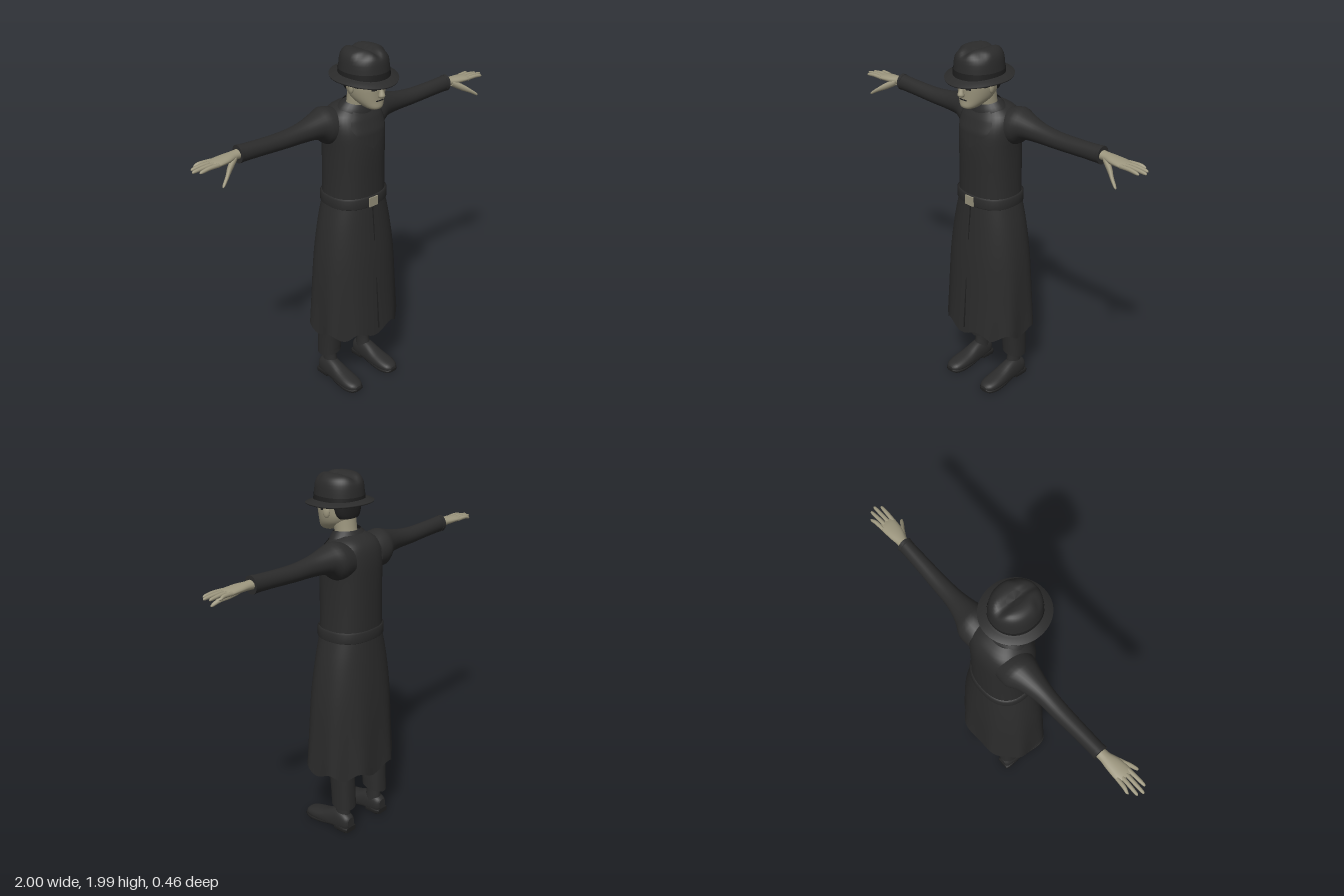
import * as THREE from 'three';

const mat = (name, color, side = THREE.FrontSide) => {
  const m = new THREE.MeshStandardMaterial({ color, side });
  m.name = name;
  return m;
};

// Catmull-Rom blend of rows of numbers
function smoothRows(rows, sub) {
  const out = [];
  for (let i = 0; i < rows.length - 1; i++) {
    const [a, b, c, d] = [rows[Math.max(i - 1, 0)], rows[i], rows[i + 1], rows[Math.min(i + 2, rows.length - 1)]];
    for (let s = 0; s < sub; s++) {
      const t = s / sub;
      out.push(b.map((_, k) => {
        const cubic = 3 * (b[k] - c[k]) + d[k] - a[k];
        const square = 2 * a[k] - 5 * b[k] + 4 * c[k] - d[k];
        return b[k] + 0.5 * t * (c[k] - a[k] + t * (square + t * cubic));
      }));
    }
  }
  out.push(rows[rows.length - 1]);
  return out;
}

// Skin superellipse rings along an axis; ring = [t, centre1, radius1, centre2, radius2]
// The two cross axes follow in cyclic order: x -> y,z   y -> z,x   z -> x,y
function loft(axis, rows, { n = 28, e = 2, sub = 3, cap = true, rule } = {}) {
  const k = 'xyz'.indexOf(axis), pos = [], idx = [];
  const rings = smoothRows(rows, sub);
  const pow = v => Math.sign(v) * Math.abs(v) ** (2 / e);
  const addRing = ([t, c1, r1, c2, r2]) => {
    for (let j = 0; j < n; j++) {
      const a = j / n * Math.PI * 2, p = new THREE.Vector3();
      p.setComponent(k, t);
      p.setComponent((k + 1) % 3, c1 + r1 * pow(Math.cos(a)));
      p.setComponent((k + 2) % 3, c2 + r2 * pow(Math.sin(a)));
      if (rule) rule(p, a);
      pos.push(p.x, p.y, p.z);
    }
  };
  const stitch = base => {
    for (let j = 0; j < n; j++) {
      const a = base + j, b = base + (j + 1) % n;
      idx.push(a, b, b + n, a, b + n, a + n);
    }
  };
  rings.forEach(addRing);
  for (let i = 0; i < rings.length - 1; i++) stitch(i * n);
  if (cap) {
    const shrink = r => [r[0], r[1], r[2] * 0.01, r[3], r[4] * 0.01];
    const first = rings[0], last = rings[rings.length - 1];
    for (const ends of [[shrink(first), first], [last, shrink(last)]]) {
      const base = pos.length / 3;
      ends.forEach(addRing);
      stitch(base);
    }
  }
  const g = new THREE.BufferGeometry();
  g.setAttribute('position', new THREE.Float32BufferAttribute(pos, 3));
  g.setIndex(idx);
  g.computeVertexNormals();
  return g;
}

function mirrored(geo) {
  const g = geo.clone().scale(-1, 1, 1), ix = g.index.array;
  for (let i = 0; i < ix.length; i += 3) [ix[i], ix[i + 1]] = [ix[i + 1], ix[i]];
  g.computeVertexNormals();
  return g;
}

export function createModel() {
  const model = new THREE.Group();
  const coat = mat('coat black', 0x2b2b2b, THREE.DoubleSide);
  const dark = mat('trim black', 0x202020, THREE.DoubleSide);
  const skin = mat('skin', 0x9c967e);
  const metal = mat('buckle', 0x96917c);
  const add = (name, geo, m) => {
    const mesh = new THREE.Mesh(geo, m);
    mesh.name = name;
    model.add(mesh);
  };
  const pair = (name, geo, m) => {
    add(name + 'Left', geo, m);
    add(name + 'Right', mirrored(geo), m);
  };
  const box = (w, h, d, x, y, z, ry = 0, rx = 0) =>
    new THREE.BoxGeometry(w, h, d).rotateX(rx).rotateY(ry).translate(x, y, z);

  // Coat body
  const torso = [[1.15, -.028, .146, 0, .17], [1.3, -.028, .147, 0, .165], [1.45, -.027, .148, 0, .165],
    [1.55, -.03, .142, 0, .17], [1.62, -.036, .122, 0, .16], [1.66, -.035, .095, 0, .125], [1.685, -.02, .065, 0, .08]];
  add('coatBody', loft('y', torso, { n: 40, e: 2.4 }), coat);

  // Coat skirt with soft folds and a wavy hem
  add('coatSkirt', loft('y', [[.365, -.025, .205, 0, .258], [.55, -.026, .194, 0, .25], [.8, -.027, .18, 0, .235],
    [1, -.028, .162, 0, .207], [1.14, -.028, .148, 0, .174]], {
    n: 72, e: 2.3, cap: false, rule: (p, a) => {
      const f = Math.max(0, (1.13 - p.y) / .77);
      const fold = 1 + .035 * f * f * Math.cos(8 * a + Math.PI);
      p.x *= fold;
      if (p.z < 0) p.z *= fold;
      p.y -= .02 * f ** 6 * Math.cos(8 * a + .6);
    },
  }), coat);
  add('frontSeam', box(.006, .74, .006, 0, .755, .152, 0, -.079), dark);

  // Belt and buckle
  add('belt', loft('y', [[1.128, -.027, .148, 0, .172], [1.135, -.027, .155, 0, .18], [1.183, -.027, .155, 0, .18],
    [1.19, -.027, .146, 0, .17]], { n: 40, e: 2.4, sub: 1, cap: false }), coat);
  add('buckle', box(.058, .052, .009, 0, 1.158, .129), metal);

  // Lapels laid over the chest
  const chestZ = (x, y) => {
    const i = Math.max(0, torso.findIndex(r => r[0] > y) - 1);
    const t = (y - torso[i][0]) / (torso[i + 1][0] - torso[i][0]);
    const [, c, rz, , rx] = torso[i].map((v, k) => v + t * (torso[i + 1][k] - v));
    return c + rz * Math.max(0, 1 - (Math.abs(x) / rx) ** 2.4) ** (1 / 2.4);
  };
  const lapels = new THREE.PlaneGeometry(2, 1, 16, 16), lp = lapels.attributes.position;
  for (let i = 0; i < lp.count; i++) {
    const v = lp.getY(i) + .5, x = lp.getX(i) * .112 * Math.sin(v * 2.4), y = 1.46 + .2 * v;
    lp.setXYZ(i, x, y, chestZ(x, y) + .007);
  }
  lapels.computeVertexNormals();
  add('lapels', lapels, coat);

  // Collar, dropping toward the front
  add('collar', loft('y', [[1.645, -.015, .095, 0, .125], [1.675, -.005, .082, 0, .108], [1.705, .002, .066, 0, .08]],
    { cap: false, rule: (p, a) => { p.y -= .018 * Math.max(0, Math.cos(a)); } }), coat);

  // Sleeves and cuffs
  pair('sleeve', loft('x', [[.1, 1.57, .09, -.06, .1], [.17, 1.578, .1, -.065, .098], [.23, 1.592, .07, -.06, .075],
    [.33, 1.585, .053, -.055, .052], [.45, 1.58, .045, -.054, .045], [.6, 1.585, .043, -.052, .04],
    [.72, 1.59, .045, -.052, .038]]), coat);
  pair('cuff', loft('x', [[.708, 1.59, .046, -.052, .04], [.727, 1.59, .047, -.052, .041]], { sub: 1 }), coat);

  // Hands
  pair('palm', loft('x', [[.7, 1.592, .026, -.052, .03], [.75, 1.592, .022, -.05, .029], [.8, 1.592, .02, -.045, .04],
    [.86, 1.59, .016, -.043, .045], [.89, 1.588, .01, -.043, .041]], { n: 18 }), skin);
  pair('thumb', loft('x', [[.755, 1.585, .018, -.035, .018], [.81, 1.556, .02, -.004, .017], [.85, 1.532, .013, .026, .012],
    [.882, 1.51, .009, .044, .009], [.892, 1.503, .003, .048, .003]], { n: 12 }), skin);
  [[-.077, -.088, .955], [-.055, -.06, .988], [-.032, -.032, 1], [-.009, -.004, .978]].forEach(([z0, z1, tip], i) =>
    pair('finger' + (i + 1), loft('x', [[.865, 1.59, .011, z0, .011], [.92, 1.592, .01, (z0 + z1) / 2, .0105],
      [tip - .012, 1.587, .008, z1, .008], [tip, 1.585, .002, z1, .002]], { n: 10 }), skin));

  // Neck and head
  add('neck', loft('y', [[1.63, -.01, .055, 0, .06], [1.7, .01, .06, 0, .06], [1.78, .02, .062, 0, .062]]), skin);
  add('head', loft('y', [[1.682, .125, .024, 0, .022], [1.695, .115, .055, 0, .046], [1.73, .08, .09, 0, .073],
    [1.77, .065, .108, 0, .086], [1.81, .064, .112, 0, .09], [1.87, .06, .112, 0, .092]], { e: 2.2 }), skin);
  add('nose', loft('y', [[1.753, .176, .012, 0, .012], [1.763, .183, .018, 0, .018], [1.785, .18, .013, 0, .012],
    [1.815, .172, .007, 0, .008]], { n: 14 }), skin);
  pair('ear', new THREE.SphereGeometry(1, 14, 10).scale(.012, .033, .02).rotateY(.25).translate(.093, 1.797, .058), skin);
  add('lips', box(.045, .006, .006, 0, 1.735, .168), dark);
  pair('eye', box(.028, .008, .006, .037, 1.797, .167, .35), dark);
  pair('brow', box(.038, .007, .008, .037, 1.815, .168, .35), dark);

  // Hair
  add('hair', loft('y', [[1.765, -.004, .044, 0, .066], [1.785, -.002, .05, 0, .078], [1.82, 0, .054, 0, .085],
    [1.86, 0, .054, 0, .086]], { e: 2.3 }), dark);
  pair('sideburn', box(.007, .05, .022, .087, 1.825, .092, -.12), dark);

  // Hat: creased crown, band and dipping brim
  add('hatCrown', loft('y', [[1.835, .053, .136, 0, .126], [1.88, .053, .134, 0, .123], [1.94, .053, .128, 0, .116],
    [1.972, .053, .112, 0, .1], [1.988, .05, .085, 0, .072], [1.992, .05, .045, 0, .036]], {
    n: 48, e: 2.1, rule: p => {
      const top = THREE.MathUtils.smoothstep(p.y, 1.93, 1.99);
      p.y -= .022 * top * Math.exp(-((p.x / .028) ** 2));
      if (p.z > .08) p.x *= 1 - .22 * top * THREE.MathUtils.smoothstep(p.z, .08, .12);
    },
  }), coat);
  add('hatBand', loft('y', [[1.845, .053, .138, 0, .128], [1.88, .053, .1365, 0, .1255]],
    { n: 48, e: 2.1, sub: 1, cap: false }), dark);
  add('hatBrim', loft('y', [[1.85, .053, .115, 0, .105], [1.845, .053, .15, 0, .14], [1.836, .052, .182, 0, .17],
    [1.843, .052, .184, 0, .172], [1.852, .053, .15, 0, .14], [1.862, .053, .125, 0, .115]], {
    n: 48, sub: 1, cap: false, rule: p => {
      const z = (p.z - .053) / .18;
      p.y += z > 0 ? -.018 * z * z : .012 * z * z;
    },
  }), coat);

  // Trousers, hem lifted at the front and inside
  pair('trouserLeg', loft('y', [[.145, -.095, .067, .13, .058], [.25, -.09, .068, .13, .058], [.37, -.081, .072, .13, .06],
    [.7, -.05, .085, .11, .085]], {
    e: 2.5, cap: false, rule: (p, a) => {
      if (p.y < .2) p.y += .022 * Math.max(0, Math.cos(a)) + .02 * Math.max(0, -Math.sin(a));
    },
  }), coat);

  // Ankles and shoes
  pair('ankle', loft('y', [[.06, -.085, .055, .13, .04], [.11, -.088, .046, .13, .034], [.17, -.088, .04, .13, .03],
    [.3, -.09, .05, .13, .038]], { n: 20 }), coat);
  pair('shoe', loft('z', [[-.153, .135, .025, .055, .03], [-.135, .135, .04, .052, .048], [-.085, .135, .045, .052, .066],
    [-.035, .135, .047, .045, .064], [.03, .136, .053, .036, .046], [.1, .138, .054, .03, .034],
    [.145, .138, .042, .026, .025], [.163, .138, .02, .024, .012]],
  { e: 2.3, rule: p => { p.y = Math.max(p.y, .016); } }), coat);
  pair('sole', loft('z', [[-.155, .135, .035, .02, .009], [-.14, .135, .044, .02, .009], [-.05, .135, .044, .022, .008],
    [.02, .136, .052, .014, .009], [.1, .138, .057, .01, .01], [.15, .138, .043, .011, .01],
    [.166, .138, .02, .014, .008]], { e: 4 }), dark);
  pair('heel', loft('z', [[-.155, .135, .038, .014, .014], [-.14, .135, .046, .014, .014], [-.065, .135, .045, .014, .014]],
    { e: 5, sub: 1 }), dark);

  return model;
}
